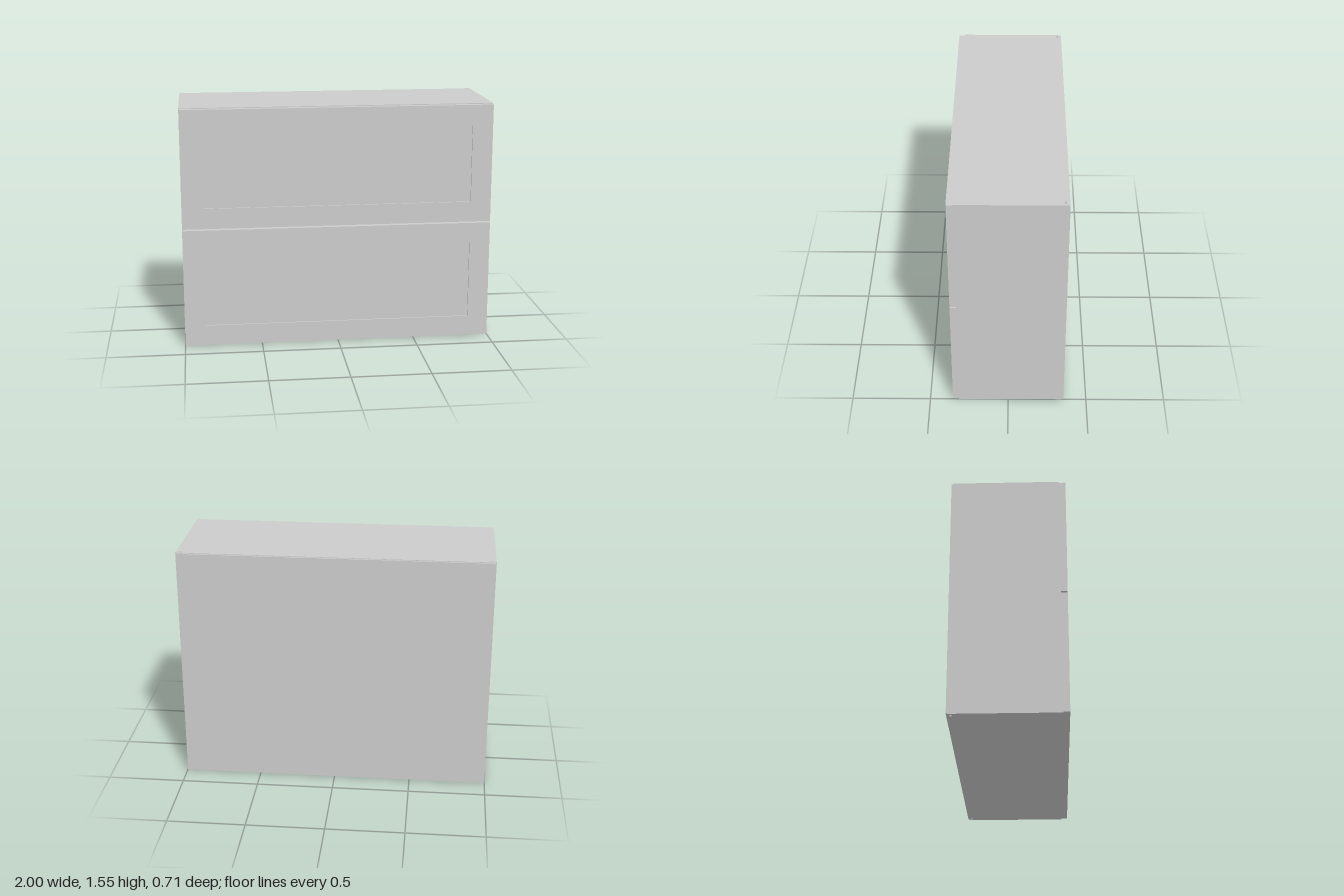
import * as THREE from 'three';

const grey = new THREE.MeshStandardMaterial({ color: 0xcccccc });

const W = 2, H = 1.555, BOARD = 0.04;
const FRONT = 0.316, BACK = -0.345, OUTER = 0.355; // carcass front/back, overall half depth

// Box given by its limits on each axis
function board(name, [x0, x1], [y0, y1], [z0, z1]) {
  const mesh = new THREE.Mesh(new THREE.BoxGeometry(x1 - x0, y1 - y0, z1 - z0), grey);
  mesh.name = name;
  mesh.position.set((x0 + x1) / 2, (y0 + y1) / 2, (z0 + z1) / 2);
  return mesh;
}

// Upright side board with a narrow groove along its inner face
function sideBoard(name, s) {
  const outer = W / 2, inner = outer - BOARD, groove = 0.983;
  const profile = [
    [outer, FRONT], [inner, FRONT], [inner, -0.324], [groove, -0.324],
    [groove, -0.335], [inner, -0.335], [inner, BACK], [outer, BACK],
  ].map(([x, z]) => new THREE.Vector2(s * x, -z));
  const geo = new THREE.ExtrudeGeometry(new THREE.Shape(profile), { depth: H, bevelEnabled: false });
  geo.rotateX(-Math.PI / 2);
  const mesh = new THREE.Mesh(geo, grey);
  mesh.name = name;
  return mesh;
}

function rectangle(Type, x, y0, y1) {
  const r = new Type();
  r.moveTo(-x, y0);
  r.lineTo(x, y0);
  r.lineTo(x, y1);
  r.lineTo(-x, y1);
  r.closePath();
  return r;
}

// Drawer front: flat frame around a slightly recessed panel
function drawerFront(name, y0, y1) {
  const group = new THREE.Group();
  group.name = name;
  const x = 0.996, rail = 0.132, recess = 0.01;
  const shape = rectangle(THREE.Shape, x, y0, y1);
  shape.holes.push(rectangle(THREE.Path, x - rail, y0 + rail, y1 - rail));
  const frame = new THREE.Mesh(
    new THREE.ExtrudeGeometry(shape, { depth: OUTER - FRONT, bevelEnabled: false }), grey);
  frame.name = 'frame';
  frame.position.z = FRONT;
  const panel = board('panel', [-x + rail, x - rail], [y0 + rail, y1 - rail], [FRONT, OUTER - recess]);
  group.add(frame, panel);
  return group;
}

export function createModel() {
  const model = new THREE.Group();
  model.name = 'cabinet';

  // Hollow carcass
  const inner = W / 2 - BOARD;
  model.add(
    sideBoard('leftSide', 1),
    sideBoard('rightSide', -1),
    board('bottomBoard', [-inner, inner], [0, BOARD], [BACK, FRONT]),
    board('topBoard', [-inner, inner], [H - BOARD, H], [BACK, FRONT]),
    board('backPanel', [-0.996, 0.996], [0.004, H - 0.004], [-OUTER, BACK]),
  );

  // Two drawer fronts with a narrow gap between them
  model.add(
    drawerFront('lowerDrawerFront', 0.006, 0.775),
    drawerFront('upperDrawerFront', 0.785, 1.55),
  );
  return model;
}
